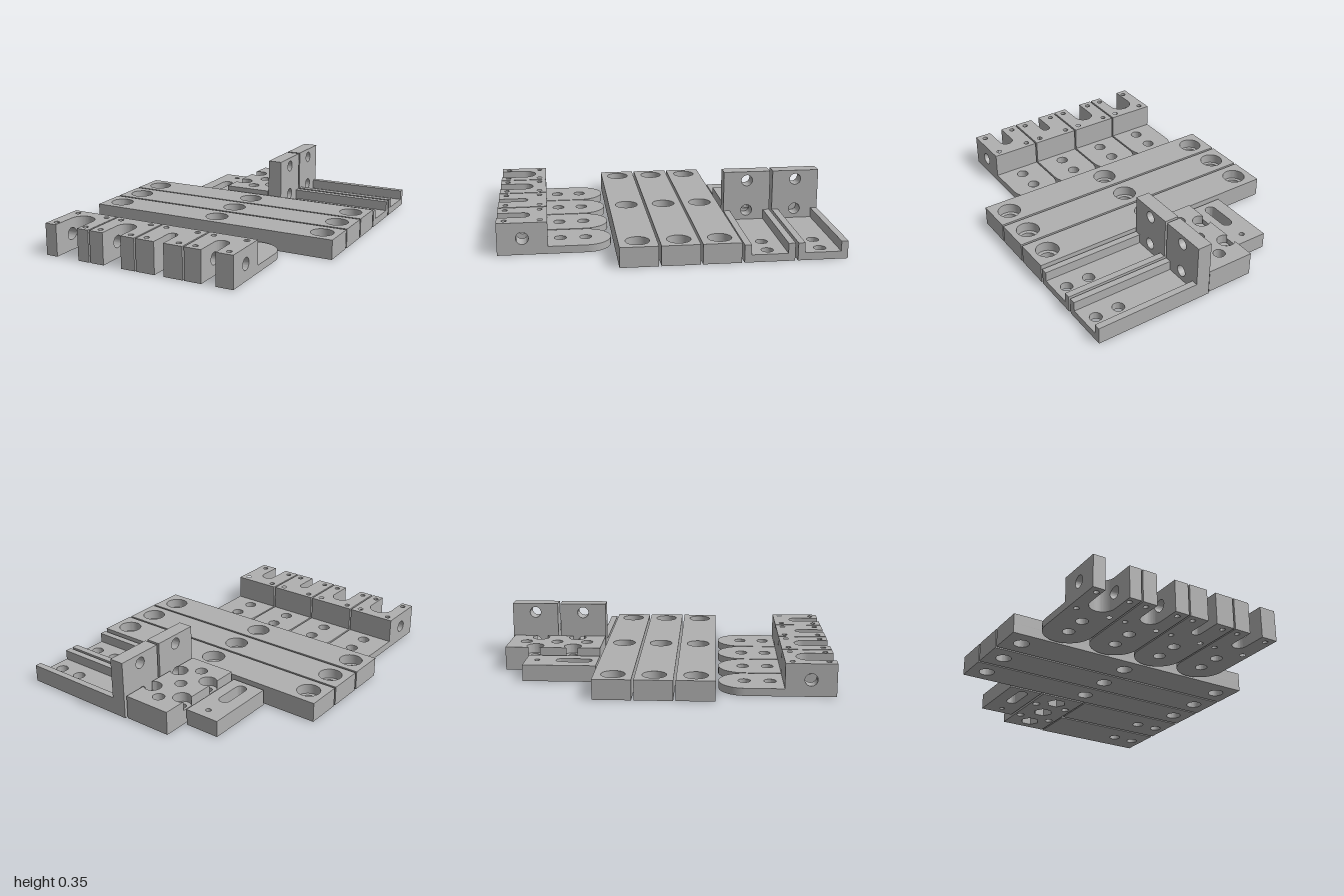
import * as THREE from 'three';
import { toCreasedNormals, mergeGeometries } from 'three/addons/utils/BufferGeometryUtils.js';

const metal = new THREE.MeshStandardMaterial({ color: 0xb0b0b0 });
metal.name = 'grey metal';

const add = (group, name, geo) => {
  const mesh = new THREE.Mesh(toCreasedNormals(geo, 0.5), metal);
  mesh.name = name;
  group.add(mesh);
};

const sub = (parent, name) => {
  const g = new THREE.Group();
  g.name = name;
  parent.add(g);
  return g;
};

// Shapes are drawn in (x, -z) for flat slabs
const poly = pts => new THREE.Shape(pts.map(([x, z]) => new THREE.Vector2(x, -z)));
const rect = (x0, x1, z0, z1) => poly([[x0, z1], [x1, z1], [x1, z0], [x0, z0]]);

const drill = (shape, x, z, r) => {
  const p = new THREE.Path();
  p.absarc(x, -z, r, 0, Math.PI * 2, true);
  shape.holes.push(p);
  return shape;
};

const slab = (shape, y0, y1) =>
  new THREE.ExtrudeGeometry(shape, { depth: y1 - y0, bevelEnabled: false, curveSegments: 18 })
    .rotateX(-Math.PI / 2).translate(0, y0, 0);

// Long bar with three counterbored holes
function bar(root, z0, z1) {
  const g = sub(root, 'longBar');
  const layer = r => {
    const s = rect(-0.813, 0.813, z0, z1);
    for (const x of [-0.705, 0, 0.705]) drill(s, x, (z0 + z1) / 2, r);
    return s;
  };
  add(g, 'barLower', slab(layer(0.047), 0, 0.06));
  add(g, 'barUpper', slab(layer(0.07), 0.06, 0.12));
}

// Loft of x/y rectangles along z: sections are [z, x0, x1, y0, y1]
function loft(sections, side) {
  const pos = [];
  const corners = ([z, x0, x1, y0, y1]) =>
    [[x0, y0], [x1, y0], [x1, y1], [x0, y1]].map(([x, y]) => [x * side, y, z]);
  const tri = (a, b, c) => pos.push(...a, ...(side > 0 ? b : c), ...(side > 0 ? c : b));
  for (let i = 0; i + 1 < sections.length; i++) {
    const a = corners(sections[i]), b = corners(sections[i + 1]);
    for (let k = 0; k < 4; k++) {
      const n = (k + 1) % 4;
      tri(a[k], a[n], b[n]);
      tri(a[k], b[n], b[k]);
    }
  }
  const geo = new THREE.BufferGeometry();
  geo.setAttribute('position', new THREE.Float32BufferAttribute(pos, 3));
  return geo;
}

// Clevis: round-ended tongue and a slotted block with a cross pin hole
function clevis(root, cx, w) {
  const g = sub(root, 'clevis');
  g.position.x = cx;
  const tongue = new THREE.Shape();
  tongue.moveTo(-0.15, -0.705);
  tongue.lineTo(0.15, -0.705);
  tongue.absarc(0, -0.48, 0.15, 0, Math.PI, false);
  drill(drill(tongue, 0, 0.48, 0.036), 0, 0.63, 0.036);
  add(g, 'tongue', slab(tongue, 0, 0.045));

  const H = 0.195, pinZ = 0.853, pinY = 0.1, r = 0.037, zc = 0.85;
  const zA = pinZ - r, zB = pinZ + r;
  const inner = z => z >= zc ? w : Math.sqrt(Math.max(0, w * w - (z - zc) ** 2));
  for (const s of [1, -1]) {
    // Rear of the block, following the slot's round end
    const rear = [[s * 0.15, 0.705], [s * 0.15, zA]];
    const zTop = zc - w;
    if (zTop < zA) {
      for (let i = 0; i <= 12; i++) {
        const z = zA + (zTop - zA) * (1 - (1 - i / 12) ** 2);
        rear.push([s * inner(z), z]);
      }
    } else rear.push([0, zA]);
    rear.push([0, 0.705]);
    add(g, 'blockRear', slab(drill(poly(rear), s * 0.103, 0.748, 0.016), 0, H));
    // Front prongs
    const front = rect(Math.min(s * w, s * 0.15), Math.max(s * w, s * 0.15), zB, 1);
    add(g, 'prong', slab(drill(front, s * 0.103, 0.955, 0.016), 0, H));
    // Band below and above the pin hole
    const low = [], high = [];
    for (let i = 0; i <= 32; i++) {
      const a = Math.PI * i / 32, z = pinZ - r * Math.cos(a), h = r * Math.sin(a);
      low.push([z, inner(z), 0.15, 0, pinY - h]);
      high.push([z, inner(z), 0.15, pinY + h, H]);
    }
    add(g, 'pinBand', mergeGeometries([loft(low, s), loft(high, s)]));
  }
}

// Angle bracket: upright wall and a drilled channel
function bracket(root, z0, z1) {
  const g = sub(root, 'angleBracket'), zc = (z0 + z1) / 2;
  const wall = new THREE.Shape([[-z1, 0], [-z0, 0], [-z0, 0.355], [-z1, 0.355]]
    .map(p => new THREE.Vector2(...p)));
  drill(drill(wall, -zc, -0.298, 0.035), -zc, -0.105, 0.035);
  add(g, 'wall', new THREE.ExtrudeGeometry(wall, { depth: 0.09, bevelEnabled: false, curveSegments: 18 })
    .rotateY(Math.PI / 2).translate(0.07, 0, 0));
  const base = rect(0.16, 0.813, z0, z1);
  drill(drill(base, 0.592, zc, 0.036), 0.74, zc, 0.036);
  add(g, 'channelFloor', slab(base, 0, 0.045));
  for (const z of [z0, z1 - 0.04])
    add(g, 'channelRidge', slab(rect(0.16, 0.813, z, z + 0.04), 0.045, 0.105));
}

// Drilled block: nut pockets below, side-opening counterbores above
function drilledBlock(root) {
  const g = sub(root, 'drilledBlock');
  const xL = -0.24, xR = 0.06, z0 = -0.99, z1 = -0.4;
  const mids = [-0.885, -0.69, -0.5], rows = [-0.575, -0.81], cols = [-0.2, 0.02];
  const lower = hex => {
    const s = rect(xL, xR, z0, z1);
    for (const x of cols) for (const z of rows) drill(s, x, z, 0.025);
    for (const z of mids) {
      if (!hex) { drill(s, -0.09, z, 0.036); continue; }
      const pts = [];
      for (let i = 0; i < 6; i++)
        pts.push(new THREE.Vector2(-0.09 + 0.062 * Math.cos(i * Math.PI / 3), -z + 0.062 * Math.sin(i * Math.PI / 3)));
      s.holes.push(new THREE.Path(pts));
    }
    return s;
  };
  add(g, 'nutPocketLayer', slab(lower(true), 0, 0.05));
  add(g, 'middleLayer', slab(lower(false), 0.05, 0.088));
  const R = 0.053, a = Math.acos(0.04 / R), top = new THREE.Shape();
  top.moveTo(xL, -z1);
  top.lineTo(xR, -z1);
  for (const z of rows) top.absarc(cols[1], -z, R, -a, a, true);
  top.lineTo(xR, -z0);
  top.lineTo(xL, -z0);
  for (const z of [...rows].reverse()) top.absarc(cols[0], -z, R, Math.PI - a, Math.PI + a, true);
  for (const z of mids) drill(top, -0.09, z, 0.036);
  add(g, 'counterboreLayer', slab(top, 0.088, 0.145));
}

// Small plate with an adjustment slot
function slottedPlate(root) {
  const s = drill(rect(-0.475, -0.257, -0.84, -0.4), -0.36, -0.77, 0.016);
  const slot = new THREE.Path();
  slot.absarc(-0.36, 0.62, 0.035, 0, Math.PI, false);
  slot.absarc(-0.36, 0.47, 0.035, Math.PI, Math.PI * 2, false);
  slot.closePath();
  s.holes.push(slot);
  add(root, 'slottedPlate', slab(s, 0, 0.1));
}

export function createModel() {
  const root = new THREE.Group();
  root.name = 'bracketKit';
  for (const z of [-0.383, -0.147, 0.09]) bar(root, z, z + 0.223);
  [0.075, 0.06, 0.03, 0.044].forEach((w, i) => clevis(root, -0.55 + i * 0.31, w));
  bracket(root, -1, -0.708);
  bracket(root, -0.691, -0.398);
  drilledBlock(root);
  slottedPlate(root);
  return root;
}
